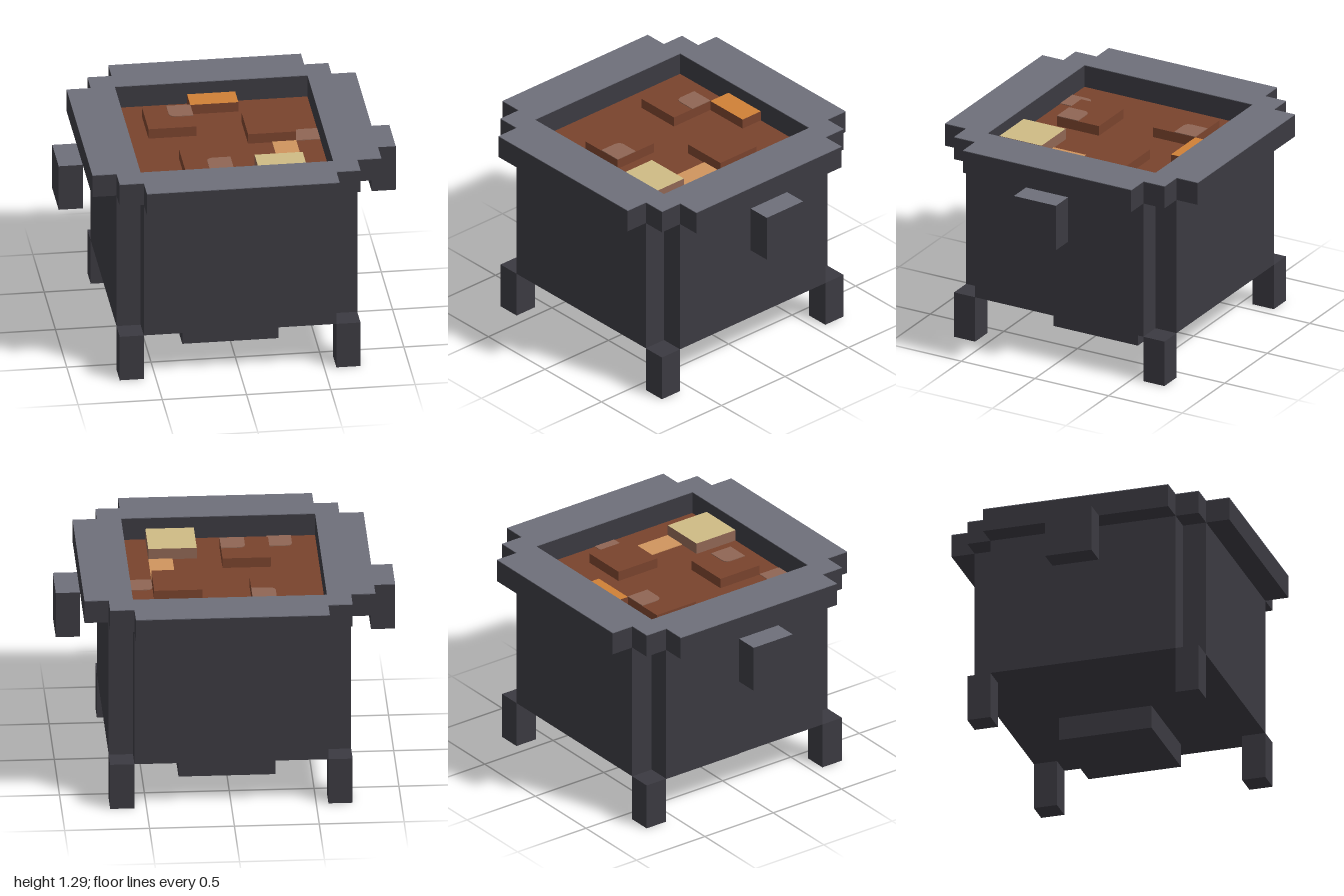
import * as THREE from 'three';

const material = (name, color) => {
  const m = new THREE.MeshStandardMaterial({ color });
  m.name = name;
  return m;
};

export function createModel() {
  const iron = material('dark iron', 0x3b3a41);
  const wornIron = material('worn grey iron', 0x6e6f7a);
  const broth = material('brown broth', 0x79432d);
  const glint = material('pale glint', 0x8f6654);
  const carrot = material('orange carrot', 0xd08036);
  const noodle = material('light orange noodle', 0xd0955e);
  const potato = material('yellow potato', 0xcebb85);

  // All sizes below are in blocks; fourteen blocks span the two-unit width.
  const model = new THREE.Group();
  model.name = 'cauldron';
  const blocks = new THREE.Group();
  blocks.name = 'cauldronBlocks';
  blocks.scale.setScalar(1 / 7);
  model.add(blocks);

  const add = (name, geometry, mat) => {
    const mesh = new THREE.Mesh(geometry, mat);
    mesh.name = name;
    blocks.add(mesh);
    return mesh;
  };
  // Box given by its lower and upper corners, optionally with another top colour
  const box = (name, [x0, y0, z0], [x1, y1, z1], mat, top = mat) => {
    const g = new THREE.BoxGeometry(x1 - x0, y1 - y0, z1 - z0);
    g.translate((x0 + x1) / 2, (y0 + y1) / 2, (z0 + z1) / 2);
    return add(name, g, top === mat ? mat : [mat, mat, top, mat, mat, mat]);
  };
  // Flat outline raised from y0 to y1
  const slab = (name, shape, y0, y1, mat) => {
    const g = new THREE.ExtrudeGeometry(shape, { depth: y1 - y0, bevelEnabled: false, curveSegments: 6 });
    g.rotateX(-Math.PI / 2).translate(0, y0, 0);
    return add(name, g, mat);
  };
  // Square outline with stepped corners, mirrored from one quadrant
  const stepped = (corner) => {
    const pts = [];
    for (let q = 0; q < 4; q++) {
      for (const [x, y] of corner) {
        pts.push(new THREE.Vector2(x, y).rotateAround(new THREE.Vector2(), q * Math.PI / 2));
      }
    }
    return new THREE.Shape(pts);
  };

  // Pot body with notched corners
  slab('body', stepped([[5, 4], [4, 4], [4, 5]]), 2, 8, iron);

  // Rim with a square opening and a lighter upper face
  const rim = stepped([[6, 4], [5, 4], [5, 5], [4, 5], [4, 6]]);
  rim.holes.push(new THREE.Path([[-4, -4], [-4, 4], [4, 4], [4, -4]].map(([x, y]) => new THREE.Vector2(x, y))));
  slab('rim', rim, 8, 8.97, iron);
  slab('rimTop', rim, 8.97, 9, wornIron);

  // Legs and side handles
  for (const sx of [-1, 1]) {
    for (const sz of [-1, 1]) {
      const x = sx * 4.5, z = sz * 4.5;
      box('leg', [x - 0.5, 0, z - 0.5], [x + 0.5, 2, z + 0.5], iron);
    }
    const hx = sx * 6.5;
    box('handle', [hx - 0.5, 6, -1], [hx + 0.5, 8, 1], iron, wornIron);
  }

  // Block on the ground beneath the pot
  box('baseBlock', [-2, 0, -2], [2, 1, 2], iron);

  // Broth surface and the pieces floating in it
  const level = 8.02, raised = 8.45;
  box('broth', [-4, 8, -4], [4, level, 4], broth);
  for (const [x, z] of [[-3, -3], [1, -2], [-2, 1]]) {
    box('meatChunk', [x, level, z], [x + 2, raised, z + 2], broth);
  }
  box('carrotPiece', [-1, level, -4], [1, raised, -3], broth, carrot);
  box('potatoPiece', [1, level, 2], [3, raised + 0.05, 4], glint, potato);
  box('noodle', [2, level, 0], [3, level + 0.03, 2], noodle);

  // Pale glints, each a square with one rounded corner
  const glintShape = (x, z, roundFront) => {
    const r = 0.3, s = new THREE.Shape();
    const a = roundFront ? -z - 1 : -z, d = roundFront ? 1 : -1;
    s.moveTo(x + r, a);
    s.quadraticCurveTo(x, a, x, a + d * r);
    s.lineTo(x, a + d);
    s.lineTo(x + 1, a + d);
    s.lineTo(x + 1, a);
    return s;
  };
  for (const [x, z, y, roundFront] of [
    [-2, -3, raised, true], [-1, 2, raised, false], [3, -1, level, false], [-3, 3, level, false],
  ]) {
    slab('glint', glintShape(x, z, roundFront), y, y + 0.03, glint);
  }

  return model;
}
